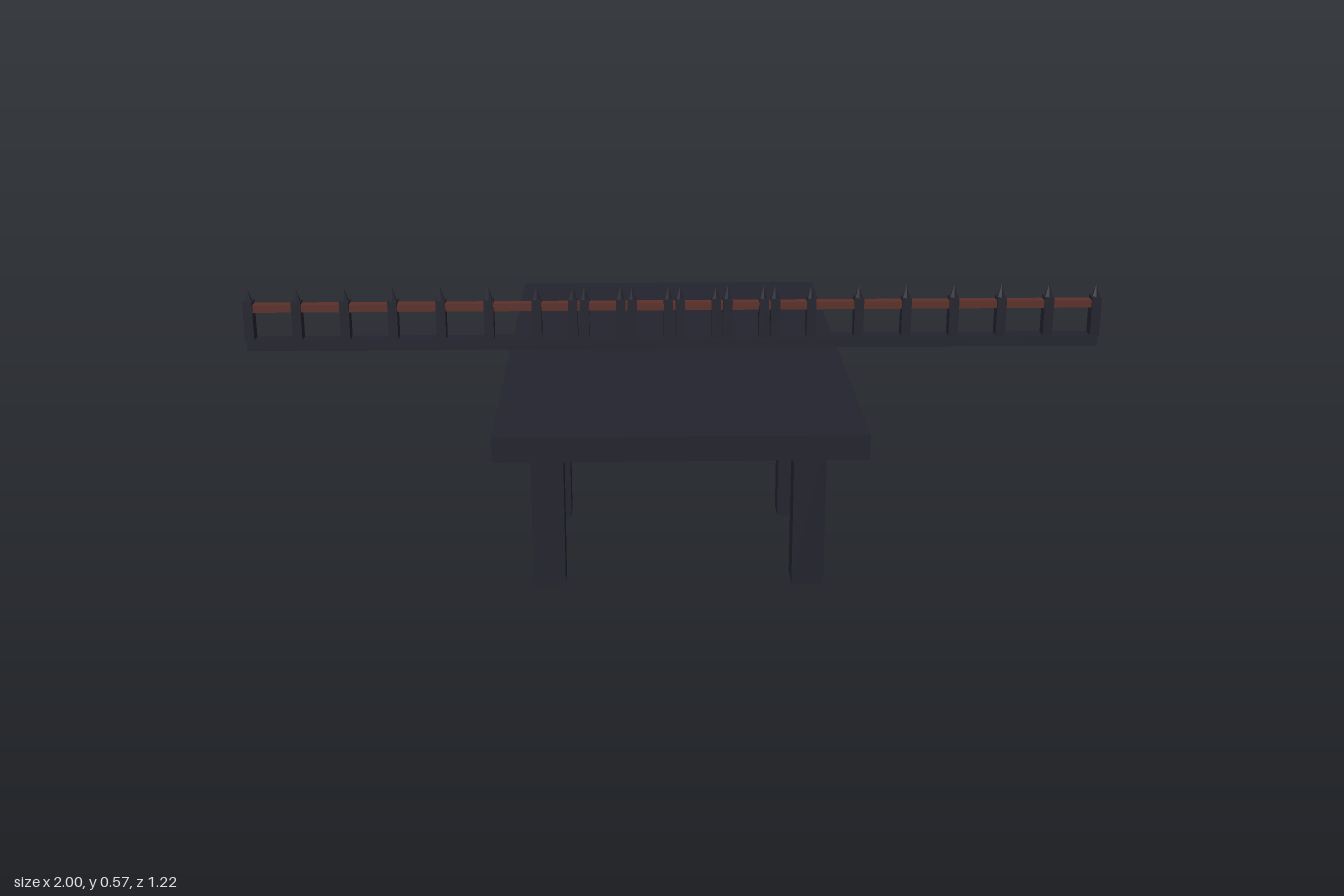
import * as THREE from 'three';

export function createModel() {
  const model = new THREE.Group();
  const slate = new THREE.MeshStandardMaterial({ color: 0x23232e });
  slate.name = 'darkSlate';
  const rust = new THREE.MeshStandardMaterial({ color: 0x5c3029 });
  rust.name = 'rustBrown';

  const add = (parent, name, geometry, material, x, y, z) => {
    const mesh = new THREE.Mesh(geometry, material);
    mesh.name = name;
    mesh.position.set(x, y, z);
    parent.add(mesh);
    return mesh;
  };

  // Platform slab on six square legs
  add(model, 'deck', new THREE.BoxGeometry(0.77, 0.053, 1.224), slate, 0, 0.3855, 0);
  const legGeometry = new THREE.BoxGeometry(0.07, 0.36, 0.07);
  for (const x of [-0.283, 0.283]) {
    for (const z of [-0.393, 0, 0.393]) add(model, 'leg', legGeometry, slate, x, 0.18, z);
  }

  // Long railing: bottom beam and handrail
  const railing = new THREE.Group();
  railing.name = 'railing';
  model.add(railing);
  add(railing, 'bottomBeam', new THREE.BoxGeometry(1.99, 0.024, 0.04), slate, 0, 0.432, 0);
  add(railing, 'handrail', new THREE.BoxGeometry(1.98, 0.018, 0.024), rust, 0, 0.519, 0);

  // Two overlapping runs of spiked posts, one from each end
  const postGeometry = new THREE.BoxGeometry(0.022, 0.094, 0.034);
  const spikeGeometry = new THREE.ConeGeometry(0.01, 0.032, 6).toNonIndexed();
  spikeGeometry.computeVertexNormals();
  for (const side of [-1, 1]) {
    for (let i = 0; i < 12; i++) {
      const x = side * (0.989 - i * 0.1114);
      add(railing, 'post', postGeometry, slate, x, 0.488, 0);
      add(railing, 'spike', spikeGeometry, slate, x, 0.55, 0);
    }
  }
  return model;
}
